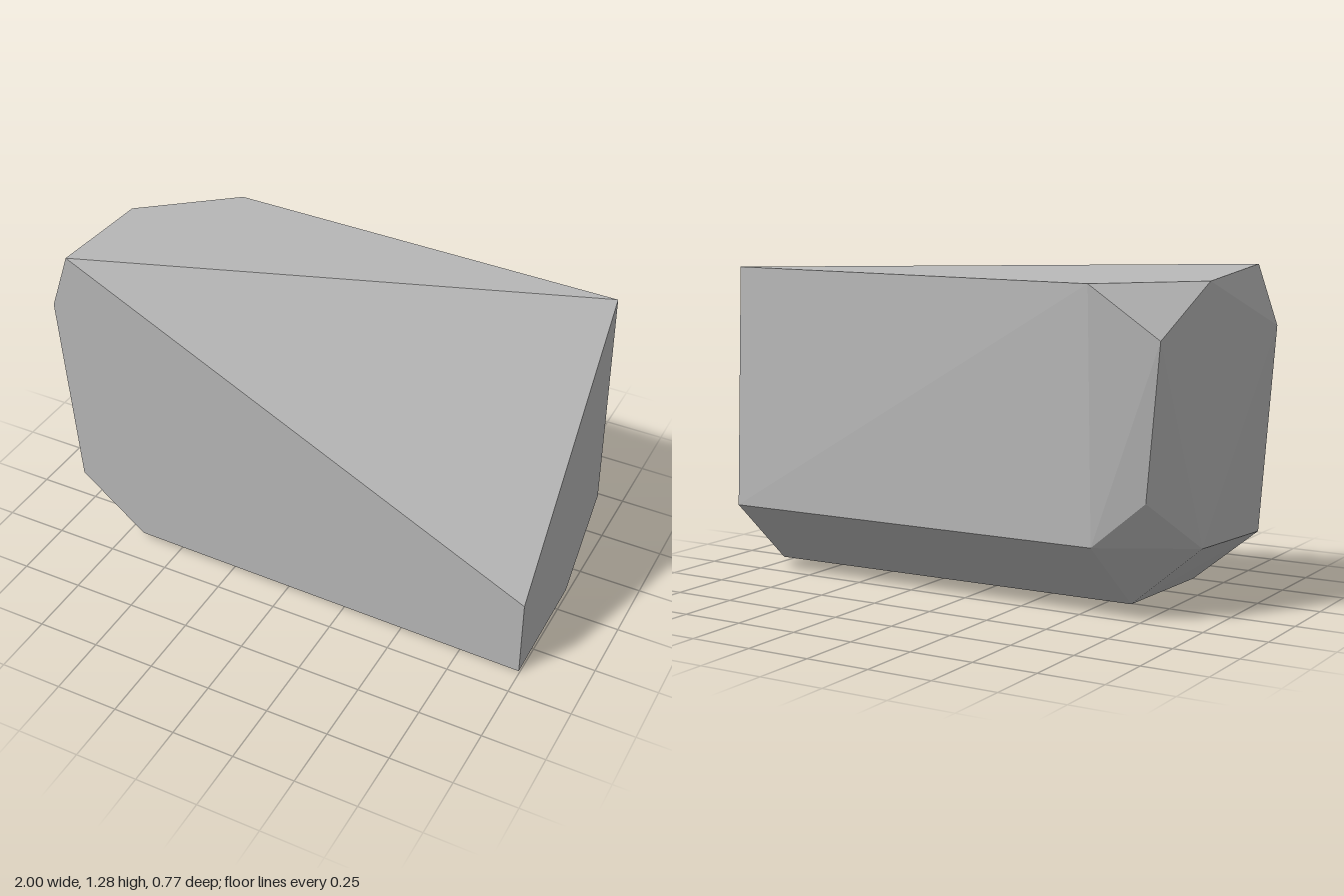
import * as THREE from 'three';
import { ConvexGeometry } from 'three/addons/geometries/ConvexGeometry.js';

// One faceted stone block: a box with chipped corners and a large sloping cut.
export function createModel() {
  const group = new THREE.Group();
  group.name = 'stoneBlock';

  const stone = new THREE.MeshStandardMaterial({ color: 0xb8b8b8 });
  stone.name = 'stone grey';

  const corners = [
    // front face
    [-0.92, 1.28, 0.385], [0.995, 0.33, 0.385], [0.995, 0, 0.385],
    [-0.67, 0.03, 0.385], [-0.94, 0.25, 0.385], [-1, 1.05, 0.385],
    // +x end
    [1, 1.25, -0.34], [0.995, 0.02, -0.1], [0.995, 0.29, -0.39],
    // chipped back corner at -x, upper ring
    [-0.6, 1.235, -0.39], [-0.86, 1.04, -0.335], [-0.94, 1.24, -0.1],
    // chipped back corner at -x, lower ring
    [-0.62, 0.29, -0.39], [-0.81, 0.46, -0.335], [-0.93, 0.27, -0.11], [-0.64, 0.025, -0.1],
  ].map((p) => new THREE.Vector3(...p));

  const block = new THREE.Mesh(new ConvexGeometry(corners), stone);
  block.name = 'block';
  group.add(block);
  return group;
}
